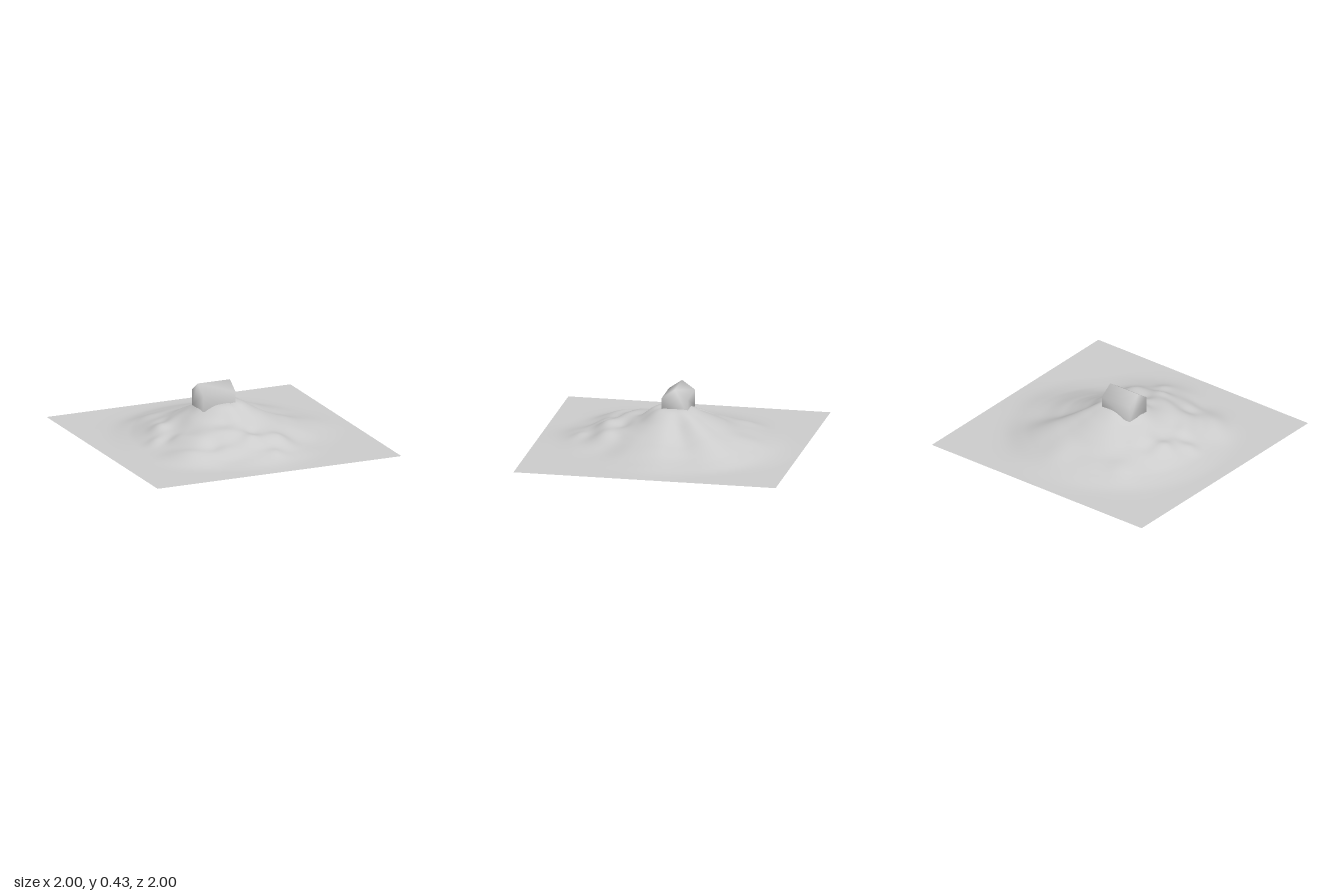
import * as THREE from 'three';

// Slope profiles: one row per 22.5 degrees from +x toward +z, heights at RADII
const RADII = [0, 0.13, 0.25, 0.4, 0.5, 0.6, 0.7, 0.85, 1];
const SLOPES = [
  [0.27, 0.2, 0.13, 0.095, 0.06, 0.035, 0.008],
  [0.27, 0.2, 0.125, 0.085, 0.05, 0.02, 0.002],
  [0.27, 0.19, 0.12, 0.07, 0.03, 0.01, 0],
  [0.26, 0.18, 0.13, 0.105, 0.06, 0.03, 0.005],
  [0.27, 0.19, 0.15, 0.12, 0.075, 0.05, 0.012],
  [0.27, 0.18, 0.165, 0.11, 0.085, 0.03, 0.003],
  [0.27, 0.19, 0.155, 0.13, 0.085, 0.075, 0.012],
  [0.27, 0.2, 0.13, 0.115, 0.06, 0.03, 0.004],
  [0.27, 0.21, 0.12, 0.1, 0.06, 0.025, 0.002],
  [0.27, 0.21, 0.15, 0.12, 0.07, 0.03, 0.004],
  [0.27, 0.21, 0.14, 0.1, 0.07, 0.04, 0.008],
  [0.28, 0.22, 0.15, 0.1, 0.075, 0.045, 0.008],
  [0.28, 0.225, 0.155, 0.105, 0.075, 0.05, 0.012],
  [0.28, 0.23, 0.16, 0.12, 0.085, 0.055, 0.015],
  [0.28, 0.235, 0.17, 0.13, 0.09, 0.05, 0.008],
  [0.27, 0.185, 0.11, 0.075, 0.045, 0.025, 0.004],
];

// Small knolls and hollows: x, z, height, radius
const BUMPS = [
  [-0.5, -0.08, 0.022, 0.07], [-0.42, -0.2, -0.02, 0.07], [-0.6, 0.08, 0.018, 0.06],
  [-0.5, 0.12, -0.02, 0.06], [0.0, 0.5, 0.02, 0.07], [0.06, 0.36, -0.025, 0.07],
  [0.25, 0.48, 0.025, 0.09], [0.12, 0.68, 0.015, 0.06], [-0.3, 0.47, -0.02, 0.07],
  [-0.4, -0.5, 0.015, 0.1], [0.1, -0.6, 0.012, 0.12],
];

const HOUSE = { x0: -0.2, x1: 0.065, z0: -0.135, z1: 0.065, base: 0.235, eave: 0.36, ridge: 0.43 };

const cubic = (a, b, c, d, t) =>
  b + 0.5 * t * (c - a + t * (2 * a - 5 * b + 4 * c - d + t * (3 * (b - c) + d - a)));

function slopeHeight(row, r) {
  const h = [0.28, ...row, 0];
  if (r >= 1) return 0;
  let i = 0;
  while (r > RADII[i + 1]) i++;
  const t = (r - RADII[i]) / (RADII[i + 1] - RADII[i]);
  return cubic(h[Math.max(i - 1, 0)], h[i], h[i + 1], h[Math.min(i + 2, 8)], t);
}

function groundHeight(x, z) {
  const n = SLOPES.length, r = Math.hypot(x, z);
  const a = ((Math.atan2(z, x) / (2 * Math.PI) + 1) % 1) * n;
  const k = Math.floor(a);
  const s = [-1, 0, 1, 2].map((o) => slopeHeight(SLOPES[(k + o + n) % n], r));
  let y = cubic(...s, a - k);
  for (const [bx, bz, h, w] of BUMPS) y += h * Math.exp(-((x - bx) ** 2 + (z - bz) ** 2) / (w * w));
  return Math.min(0.28, Math.max(0, y));
}

// Square sheet raised into a hill, left open beneath the house
function hillGeometry() {
  const geo = new THREE.PlaneGeometry(2, 2, 80, 80).rotateX(-Math.PI / 2);
  const p = geo.attributes.position;
  for (let i = 0; i < p.count; i++) p.setY(i, groundHeight(p.getX(i), p.getZ(i)));
  geo.computeVertexNormals();
  const kept = [], idx = geo.index.array;
  const inside = (i) => p.getX(i) > HOUSE.x0 && p.getX(i) < HOUSE.x1 && p.getZ(i) > HOUSE.z0 && p.getZ(i) < HOUSE.z1;
  for (let i = 0; i < idx.length; i += 3) {
    const tri = [idx[i], idx[i + 1], idx[i + 2]];
    if (!tri.every(inside)) kept.push(...tri);
  }
  geo.setIndex(kept);
  return geo;
}

// Hollow gabled shell with softly blended normals
function houseGeometry() {
  const { x0, x1, z0, z1, base, eave, ridge } = HOUSE;
  const profile = [[z0, base], [z0, eave], [(z0 + z1) / 2, ridge], [z1, eave], [z1, base]];
  const pos = [], idx = [];
  for (const x of [x0, x1]) for (const [z, y] of profile) pos.push(x, y, z);
  for (let i = 0; i < 4; i++) idx.push(i, i + 1, i + 6, i, i + 6, i + 5);
  for (let i = 1; i < 4; i++) idx.push(5, 5 + i, 6 + i, 0, i + 1, i);
  const geo = new THREE.BufferGeometry();
  geo.setAttribute('position', new THREE.Float32BufferAttribute(pos, 3));
  geo.setIndex(idx);
  geo.computeVertexNormals();
  return geo;
}

export function createModel() {
  const stone = new THREE.MeshStandardMaterial({ color: 0xcccccc, side: THREE.DoubleSide });
  stone.name = 'pale grey';
  const group = new THREE.Group();
  group.name = 'hilltopHouse';
  for (const [name, geo] of [['hill', hillGeometry()], ['house', houseGeometry()]]) {
    const mesh = new THREE.Mesh(geo, stone);
    mesh.name = name;
    group.add(mesh);
  }
  return group;
}
